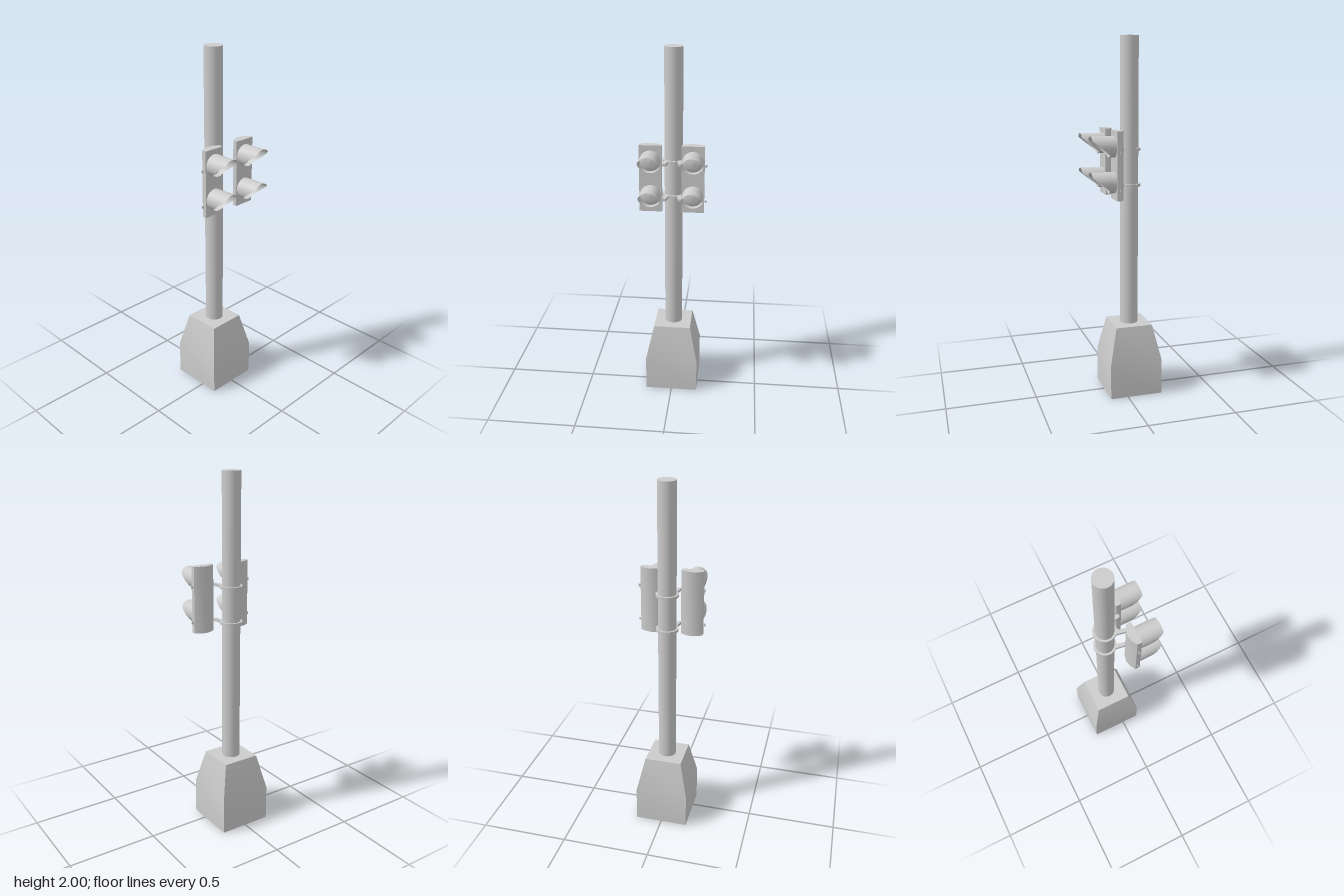
import * as THREE from 'three';
import { toCreasedNormals } from 'three/addons/utils/BufferGeometryUtils.js';

const material = new THREE.MeshStandardMaterial({ color: 0xcccccc });
const thin = new THREE.MeshStandardMaterial({ color: 0xcccccc, side: THREE.DoubleSide });
const POLE_Z = -0.05;

function add(parent, name, geometry, x = 0, y = 0, z = 0, mat = material) {
  const mesh = new THREE.Mesh(geometry, mat);
  mesh.name = name;
  mesh.position.set(x, y, z);
  parent.add(mesh);
  return mesh;
}

// Extrude a plan outline (x, z) upwards from y = 0
function extrudePlan(shape, height) {
  const geo = new THREE.ExtrudeGeometry(shape, { depth: height, bevelEnabled: false, curveSegments: 32 });
  geo.rotateX(Math.PI / 2).translate(0, height, 0);
  return toCreasedNormals(geo, 0.7);
}

// Tube whose front end is cut on a slant, leaving a long top and short bottom
function visorGeometry(radius) {
  const geo = new THREE.CylinderGeometry(radius, radius, 1, 40, 1, true).rotateX(Math.PI / 2);
  const p = geo.attributes.position;
  for (let i = 0; i < p.count; i++) {
    const front = THREE.MathUtils.clamp(0.086 + 1.25 * p.getY(i), 0.033, 0.13);
    p.setZ(i, p.getZ(i) > 0 ? front : 0);
  }
  return geo;
}

// Shallow domed lens facing +z
function lensGeometry(radius) {
  const profile = [[radius, 0], [radius * 0.85, 0.007], [radius * 0.5, 0.013], [0, 0.016]];
  return new THREE.LatheGeometry(profile.map(([r, y]) => new THREE.Vector2(r, y)), 32).rotateX(Math.PI / 2);
}

function createSignalHead() {
  const head = new THREE.Group();
  const outline = [[-0.061, 0.07], [-0.061, 0.045], [-0.036, 0.029], [0, 0.02],
    [0.036, 0.029], [0.061, 0.045], [0.061, 0.07]];
  const plan = new THREE.Shape(outline.map(([x, z]) => new THREE.Vector2(x, z)));
  add(head, 'housing', extrudePlan(plan, 0.37), 0, 1.135, 0);
  for (const y of [1.42, 1.228]) {
    add(head, 'visor', visorGeometry(0.057), 0, y, 0.07, thin);
    add(head, 'lens', lensGeometry(0.056), 0, y, 0.07);
  }
  return head;
}

function createClamp() {
  const clamp = new THREE.Group();
  // Collar around the pole
  const ring = new THREE.Shape().absarc(0, POLE_Z, 0.062, 0, Math.PI * 2);
  ring.holes.push(new THREE.Path().absarc(0, POLE_Z, 0.049, 0, Math.PI * 2, true));
  add(clamp, 'clampCollar', extrudePlan(ring, 0.015));
  for (const s of [-1, 1]) {
    // Splayed leg reaching forward to the housing
    const leg = [[0.045, -0.012], [0.045, -0.006], [0.052, 0.035], [0.052, 0.054], [0.034, 0.054], [0.024, 0.005]];
    const plan = new THREE.Shape(leg.map(([x, z]) => new THREE.Vector2(s * x, z)));
    add(clamp, 'clampLeg', extrudePlan(plan, 0.015));
    // Thin tie bar through the housing, ending in a small tab
    add(clamp, 'tieBar', new THREE.BoxGeometry(0.145, 0.006, 0.003), s * 0.1125, 0.0075, 0.053);
    add(clamp, 'tieTab', new THREE.BoxGeometry(0.008, 0.016, 0.003), s * 0.184, 0.0075, 0.053);
  }
  return clamp;
}

export function createModel() {
  const model = new THREE.Group();
  model.name = 'trafficSignalPost';

  // Four-sided footing, open underneath, tapering to a flat top
  const k = Math.SQRT2;
  const profile = [[0.15 * k, 0], [0.15 * k, 0.2], [0.105 * k, 0.4], [0, 0.4]];
  const base = new THREE.LatheGeometry(profile.map(([r, y]) => new THREE.Vector2(r, y)), 4, Math.PI / 4);
  add(model, 'base', toCreasedNormals(base, 0.5), 0, 0, POLE_Z, thin);

  add(model, 'pole', new THREE.CylinderGeometry(0.05, 0.05, 1.6, 40), 0, 1.2, POLE_Z);

  // Twin signal heads either side of the pole
  for (const s of [-1, 1]) {
    const head = createSignalHead();
    head.name = s > 0 ? 'leftSignalHead' : 'rightSignalHead';
    head.position.x = s * 0.114;
    model.add(head);
  }

  // Upper and lower mounting clamps
  for (const y of [1.386, 1.188]) {
    const clamp = createClamp();
    clamp.name = 'mountingClamp';
    clamp.position.y = y;
    model.add(clamp);
  }
  return model;
}
